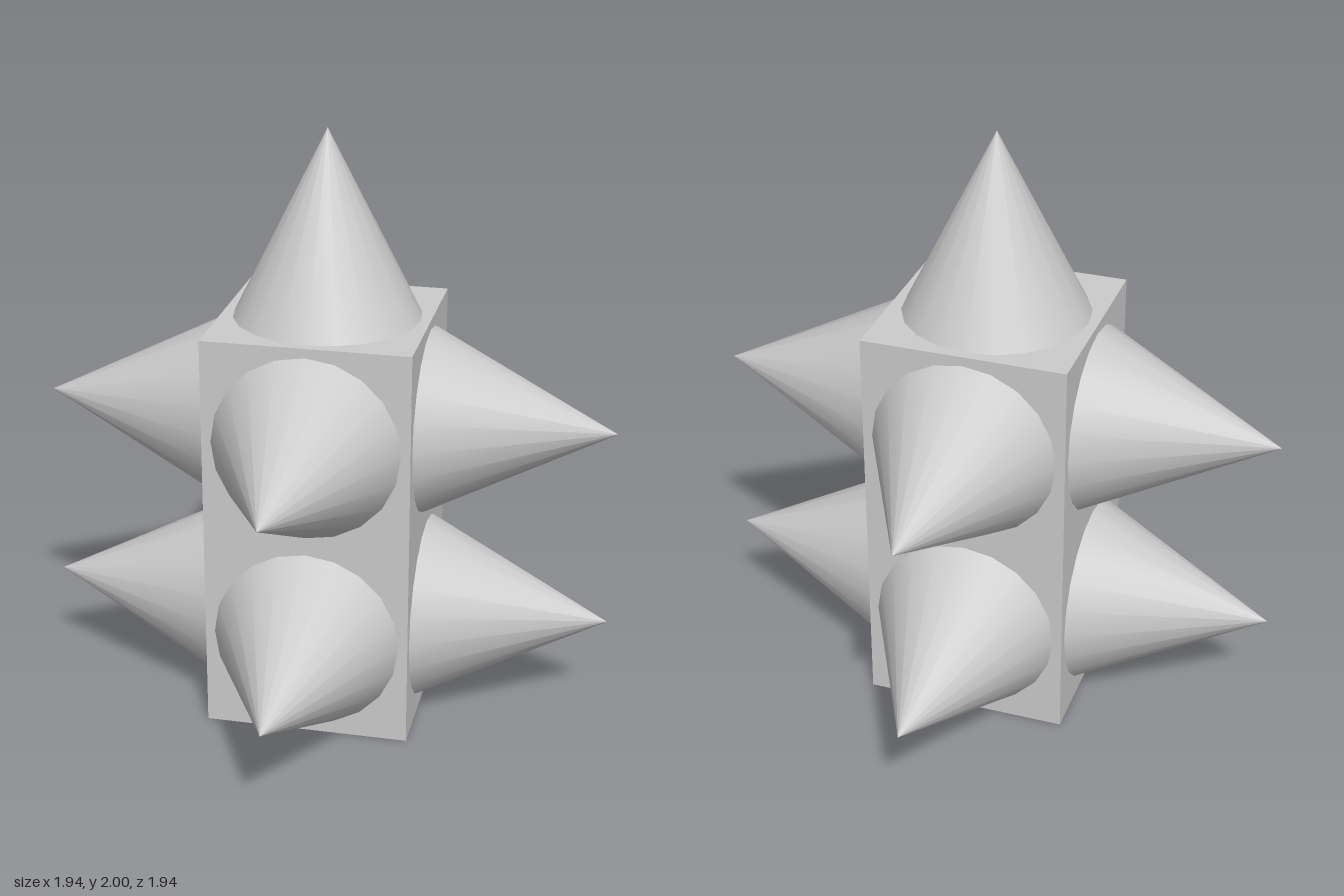
import * as THREE from 'three';

const WIDTH = 0.6875;
const HEIGHT = 2 * WIDTH;
const SPIKE_RADIUS = 0.3125;
const SPIKE_LENGTH = 0.625;

export function createModel() {
  const group = new THREE.Group();
  group.name = 'spikedBlock';
  const material = new THREE.MeshStandardMaterial({ color: 0xcccccc });

  // Square block, two cubes tall
  const block = new THREE.Mesh(new THREE.BoxGeometry(WIDTH, HEIGHT, WIDTH), material);
  block.name = 'block';
  block.position.y = HEIGHT / 2;
  group.add(block);

  // Spike with its base at the origin, pointing up
  const spikeGeometry = new THREE.ConeGeometry(SPIKE_RADIUS, SPIKE_LENGTH, 20);
  spikeGeometry.translate(0, SPIKE_LENGTH / 2, 0);

  const up = new THREE.Vector3(0, 1, 0);
  function addSpike(name, base, direction) {
    const spike = new THREE.Mesh(spikeGeometry, material);
    spike.name = name;
    spike.position.copy(base);
    spike.quaternion.setFromUnitVectors(up, direction);
    group.add(spike);
  }

  // Top spike
  addSpike('topSpike', new THREE.Vector3(0, HEIGHT, 0), up);

  // Two rings of four side spikes
  const sides = {
    left: new THREE.Vector3(1, 0, 0),
    right: new THREE.Vector3(-1, 0, 0),
    front: new THREE.Vector3(0, 0, 1),
    back: new THREE.Vector3(0, 0, -1),
  };
  const rows = { Lower: HEIGHT * 0.25, Upper: HEIGHT * 0.75 };
  for (const [row, y] of Object.entries(rows)) {
    for (const [side, direction] of Object.entries(sides)) {
      const base = direction.clone().multiplyScalar(WIDTH / 2).setY(y);
      addSpike(`${side}${row}Spike`, base, direction);
    }
  }

  return group;
}
